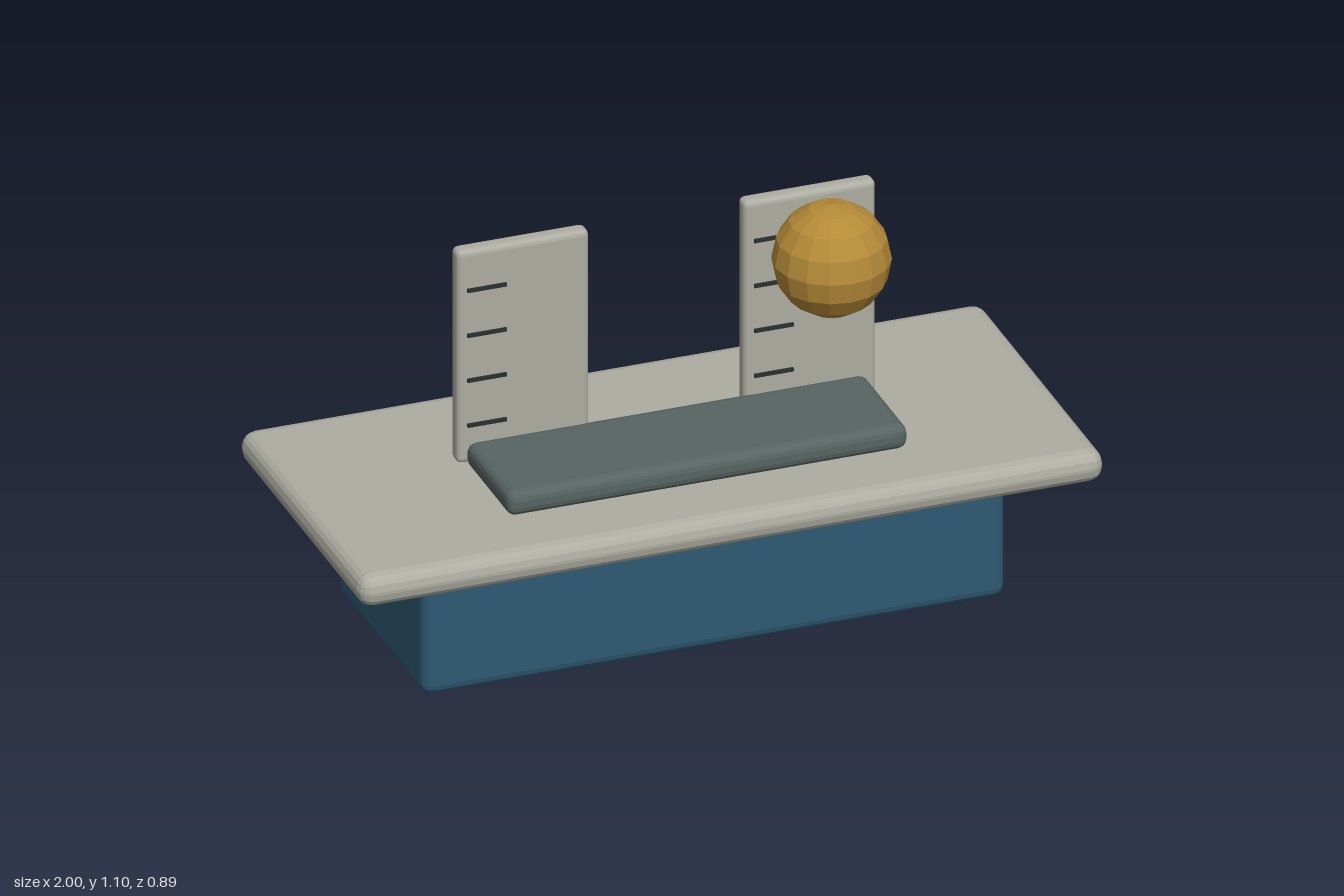
import * as THREE from 'three';
import { RoundedBoxGeometry } from 'three/addons/geometries/RoundedBoxGeometry.js';

const makeMaterial = (name, color) => {
  const m = new THREE.MeshStandardMaterial({ color, flatShading: true });
  m.name = name;
  return m;
};

export function createModel() {
  const stone = makeMaterial('warm grey', 0xaeada2);
  const blue = makeMaterial('deep blue', 0x2e5a73);
  const gold = makeMaterial('gold', 0xb58a38);
  const slate = makeMaterial('slate', 0x566462);
  const ink = makeMaterial('dark mark', 0x2a2f30);

  const model = new THREE.Group();
  model.name = 'displayTable';

  const add = (name, geometry, material, x, y, z, parent = model) => {
    const mesh = new THREE.Mesh(geometry, material);
    mesh.name = name;
    mesh.position.set(x, y, z);
    parent.add(mesh);
    return mesh;
  };
  // Bevelled block given by its size, bottom height and centre
  const block = (name, material, [w, h, d], radius, x, bottom, z, parent) =>
    add(name, new RoundedBoxGeometry(w, h, d, 2, radius), material, x, bottom + h / 2, z, parent);

  // Plinth, trim, table top and raised pad
  block('base', blue, [1.565, 0.328, 0.614], 0.03, 0, 0, 0);
  block('trim', gold, [1.6, 0.03, 0.652], 0.01, 0, 0.326, 0);
  block('tableTop', stone, [2, 0.088, 0.893], 0.04, 0, 0.352, 0);
  block('pad', slate, [1.075, 0.068, 0.318], 0.025, 0, 0.444, 0.106);

  // Two upright panels, each with four scale marks in front
  for (const [side, x] of [['right', -0.385], ['left', 0.385]]) {
    const panel = new THREE.Group();
    panel.name = side + 'Panel';
    model.add(panel);
    block('board', stone, [0.355, 0.602, 0.048], 0.015, x, 0.455, -0.06, panel);
    for (let i = 0; i < 4; i++) {
      add('scaleMark', new THREE.BoxGeometry(0.105, 0.01, 0.006), ink,
        x - 0.102, 0.568 + i * 0.1275, -0.025, panel);
    }
  }

  // Ball hovering before the left panel
  add('ball', new THREE.SphereGeometry(0.152, 16, 8), gold, 0.384, 0.945, 0.119);

  return model;
}
